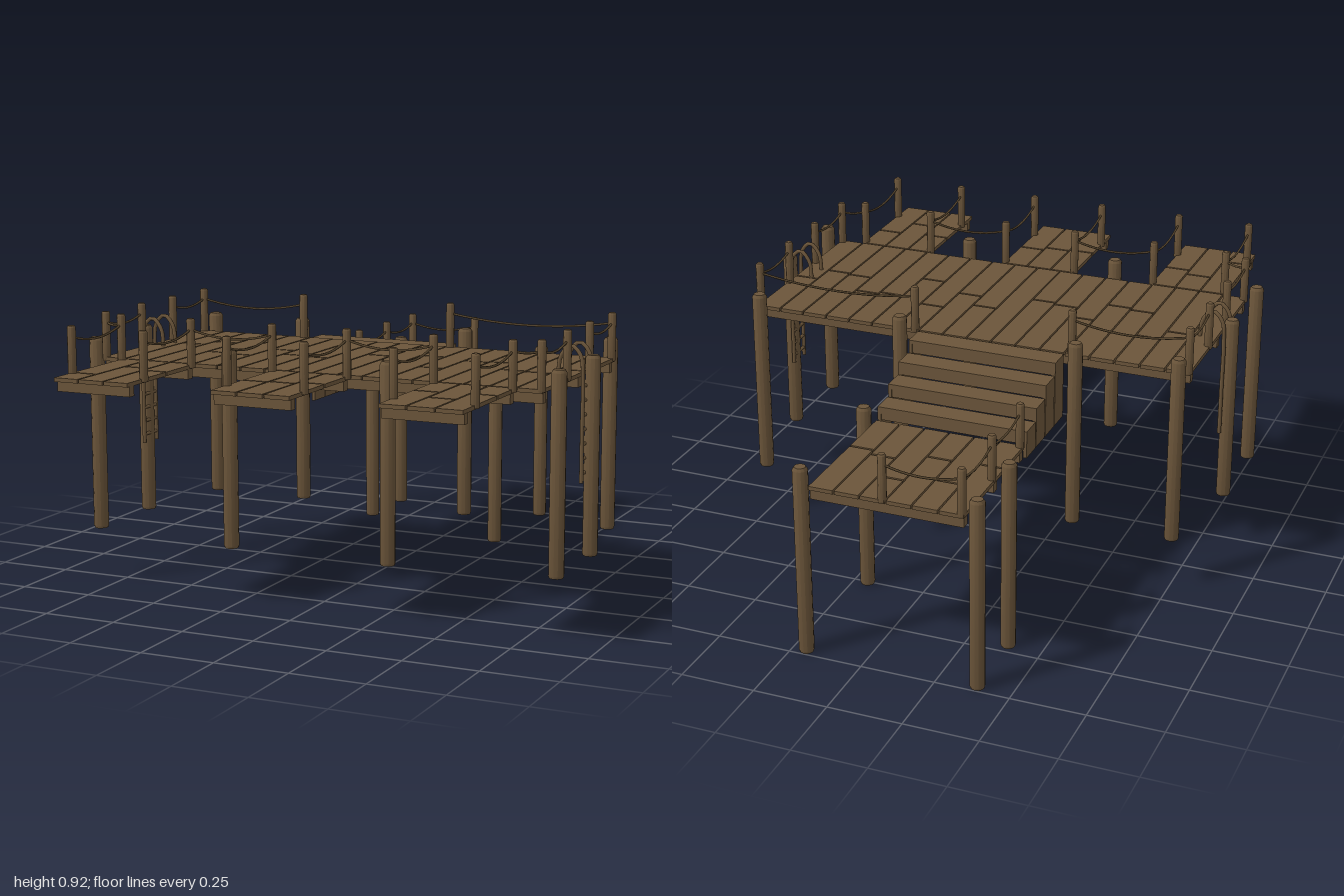
import * as THREE from 'three';
import { toCreasedNormals } from 'three/addons/utils/BufferGeometryUtils.js';

export function createModel() {
  const model = new THREE.Group();
  model.name = 'pier';
  const wood = new THREE.MeshStandardMaterial({ color: 0x6b553a });
  wood.name = 'weathered wood';
  const ropeMat = new THREE.MeshStandardMaterial({ color: 0x54432c });
  ropeMat.name = 'rope brown';

  const group = (name, parent = model) => {
    const g = new THREE.Group();
    g.name = name;
    parent.add(g);
    return g;
  };
  const add = (parent, name, geo, mat = wood) => {
    const m = new THREE.Mesh(geo, mat);
    m.name = name;
    parent.add(m);
    return m;
  };
  // Box given by its lower and upper limits
  const box = (parent, name, x0, x1, y0, y1, z0, z1) =>
    add(parent, name, new THREE.BoxGeometry(x1 - x0, y1 - y0, z1 - z0))
      .position.set((x0 + x1) / 2, (y0 + y1) / 2, (z0 + z1) / 2);
  // Round post with a chamfered top
  const post = (parent, name, x, z, y0, y1, r) => {
    const profile = [[0, y0], [r * 0.9, y0], [r, y0 + r * 0.3], [r, y1 - r * 0.4], [r * 0.75, y1], [0, y1]]
      .map(p => new THREE.Vector2(...p));
    add(parent, name, toCreasedNormals(new THREE.LatheGeometry(profile, 12), 0.6)).position.set(x, 0, z);
  };

  // Deck: columns of planks, each cut once at its own z, on cross beams
  const deck = (name, x0, x1, z0, z1, top, cuts, beams) => {
    const g = group(name);
    const pitch = (x1 - x0) / cuts.length;
    cuts.forEach((cut, i) => {
      const a = x0 + i * pitch + 0.003, b = x0 + (i + 1) * pitch - 0.003;
      const pieces = cut === null ? [[z0, z1]] : [[z0, cut - 0.004], [cut + 0.004, z1]];
      for (const [s, e] of pieces) box(g, 'plank', a, b, top - 0.013, top, s, e);
    });
    for (const z of beams) box(g, 'beam', x0 + 0.005, x1 - 0.005, top - 0.046, top - 0.013, z - 0.014, z + 0.014);
  };
  const TOP = 0.772, LOW = 0.597;
  deck('mainDeck', -0.78, 0.78, -0.11, 0.577, TOP,
    [null, 0.19, 0.12, 0.325, 0.34, 0.19, 0.275, 0.29, null, 0.165, 0.25, 0.11, 0.33, 0.155, 0.14, 0.27, 0.28, 0.19],
    [-0.08, 0.23, 0.55]);
  deck('lowerDeck', -0.348, 0.172, -0.985, -0.475, LOW,
    [-0.65, -0.8, -0.66, -0.84, -0.71, -0.68], [-0.965, -0.72, -0.495]);
  deck('jetty', -0.698, -0.425, 0.585, 1, TOP, [0.89, 0.72, 0.76], [0.605, 0.97]);
  deck('jetty', -0.138, 0.135, 0.585, 1, TOP, [0.795, 0.785, 0.76], [0.605, 0.97]);
  deck('jetty', 0.422, 0.695, 0.585, 1, TOP, [0.745, 0.84, 0.73], [0.605, 0.97]);

  // Stairs: treads and risers between stepped side boards
  const stairs = group('stairs');
  for (let i = 0; i < 4; i++) {
    const top = 0.77 - i * 0.044, z1 = -0.116 - i * 0.087, z0 = z1 - 0.081;
    box(stairs, 'tread', -0.348, 0.172, top - 0.013, top, z0, z1);
    box(stairs, 'riser', -0.336, 0.16, top - 0.046, top - 0.013, z0 + 0.002, z0 + 0.012);
    for (const x of [-0.348, 0.16]) box(stairs, 'sideBoard', x, x + 0.012, 0.545, top - 0.013, z0, z1);
  }

  // Piles standing in the water
  const piles = group('piles');
  for (const s of [-1, 1])
    for (const [x, z] of [[0.82, 0.23], [0.82, 0.545], [0.75, -0.15], [0.28, 0.615]])
      post(piles, 'pile', s * x, z, 0.18, 0.833, 0.025);
  for (const x of [-0.4, 0.225]) post(piles, 'pile', x, -0.15, 0.18, 0.833, 0.025);
  for (const [x, z] of [[-0.385, -0.975], [0.2, -0.975], [-0.385, -0.71], [0.2, -0.505]])
    post(piles, 'lowerPile', x, z, 0, 0.655, 0.025);

  // Railings: runs of short posts joined by sagging ropes
  const railing = (points, base) => {
    const g = group('ropeRailing');
    points.forEach(([x, z], i) => {
      post(g, 'railPost', x, z, base - 0.01, base + 0.152, 0.014);
      if (!i) return;
      const [px, pz] = points[i - 1], y = base + 0.117;
      const sag = Math.min(0.025, Math.hypot(x - px, z - pz) * 0.08);
      const curve = new THREE.QuadraticBezierCurve3(
        new THREE.Vector3(px, y, pz),
        new THREE.Vector3((x + px) / 2, y - 2 * sag, (z + pz) / 2),
        new THREE.Vector3(x, y, z));
      add(g, 'rope', new THREE.TubeGeometry(curve, 12, 0.004, 6), ropeMat);
    });
  };
  for (const s of [-1, 1]) {
    railing([[s * 0.77, 0.125], [s * 0.77, -0.1], [s < 0 ? -0.37 : 0.19, -0.1]], TOP);
    railing([[s * 0.77, 0.335], [s * 0.77, 0.565], [s * 0.69, 0.6], [s * 0.69, 0.9]], TOP);
    railing([[s * 0.428, 0.9], [s * 0.428, 0.6], [s * 0.132, 0.6], [s * 0.132, 0.9]], TOP);
  }
  railing([[-0.335, -0.485], [-0.335, -0.73], [-0.335, -0.975], [-0.075, -0.975]], LOW);

  // Ladders with hooped handrails, one on each end of the main deck
  for (const s of [-1, 1]) {
    const ladder = group('ladder');
    const path = new THREE.CatmullRomCurve3(
      [[0.72, 0.765], [0.728, 0.83], [0.762, 0.866], [0.795, 0.835], [0.803, 0.76], [0.803, 0.6], [0.803, 0.425]]
        .map(([x, y]) => new THREE.Vector3(s * x, y, 0)));
    for (const z of [0.197, 0.278])
      add(ladder, 'rail', new THREE.TubeGeometry(path, 32, 0.007, 8)).position.z = z;
    for (let i = 0; i < 7; i++) {
      const rung = add(ladder, 'rung', new THREE.CylinderGeometry(0.006, 0.006, 0.081, 8));
      rung.rotation.x = Math.PI / 2;
      rung.position.set(s * 0.803, 0.455 + i * 0.047, 0.2375);
    }
  }
  return model;
}
